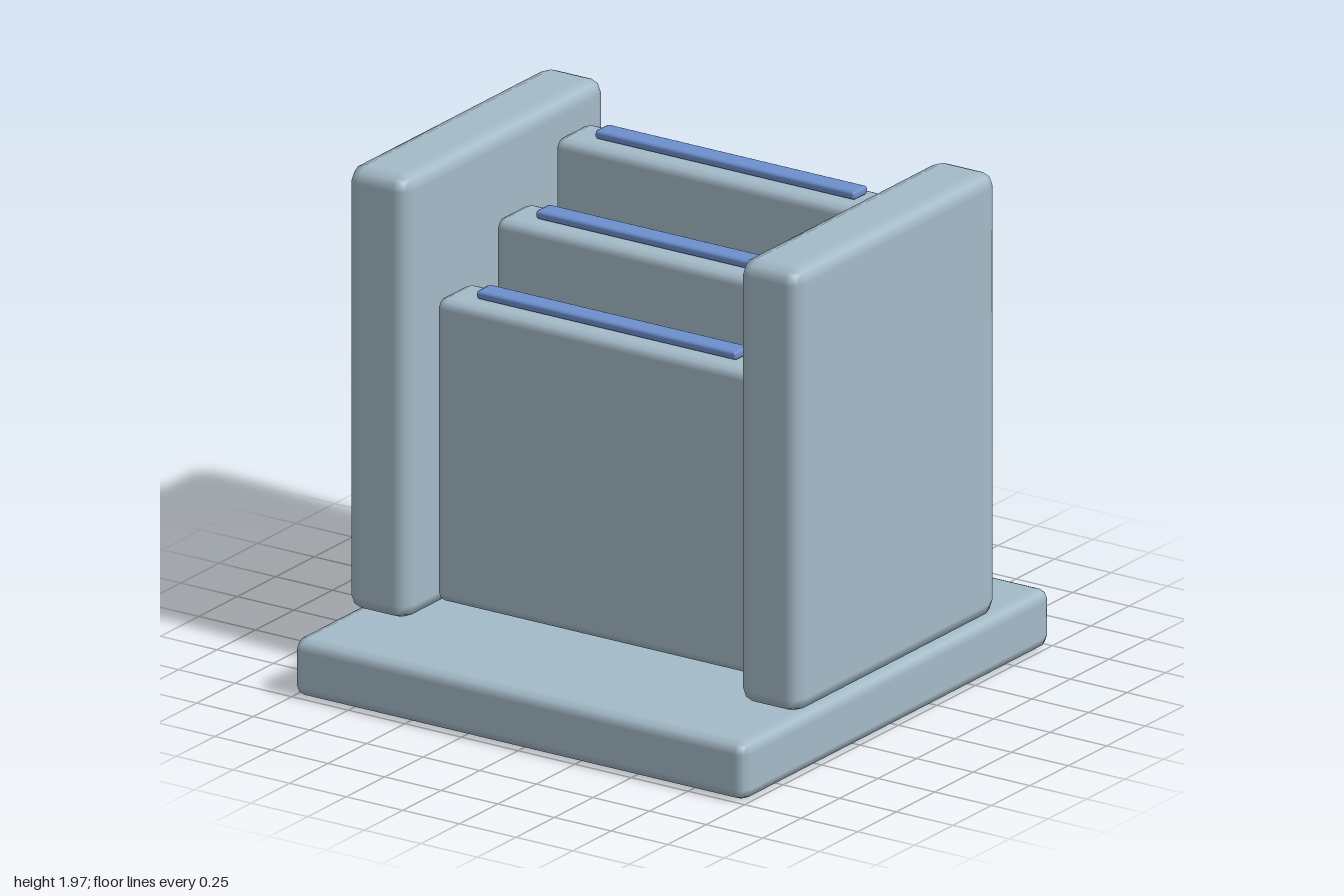
import * as THREE from 'three';
import { RoundedBoxGeometry } from 'three/addons/geometries/RoundedBoxGeometry.js';

export function createModel() {
  const group = new THREE.Group();
  const body = new THREE.MeshStandardMaterial({ color: 0xa5bbc9 });
  body.name = 'pale blue grey';
  const accent = new THREE.MeshStandardMaterial({ color: 0x6e90cf });
  accent.name = 'blue';

  // rounded block spanning y0..y1, centred on x and z
  function block(name, material, width, y0, y1, depth, radius, x = 0, z = 0) {
    const mesh = new THREE.Mesh(new RoundedBoxGeometry(width, y1 - y0, depth, 1, radius), material);
    mesh.name = name;
    mesh.position.set(x, (y0 + y1) / 2, z);
    group.add(mesh);
  }

  // base slab
  block('base', body, 2, 0, 0.23, 2, 0.046);

  // side walls
  block('leftWall', body, 0.27, 0.23, 1.965, 1.31, 0.06, 0.865);
  block('rightWall', body, 0.27, 0.23, 1.965, 1.31, 0.06, -0.865);

  // upright panels, rising towards the back, each with a strip on top
  ['front', 'middle', 'back'].forEach((name, i) => {
    const z = 0.385 * (1 - i);
    const top = 1.46 + 0.193 * i;
    block(name + 'Panel', body, 1.42, 0.275, top, 0.226, 0.038, 0, z);
    block(name + 'Strip', accent, 1.15, top + 0.003, top + 0.038, 0.09, 0.013, 0, z);
  });

  return group;
}
